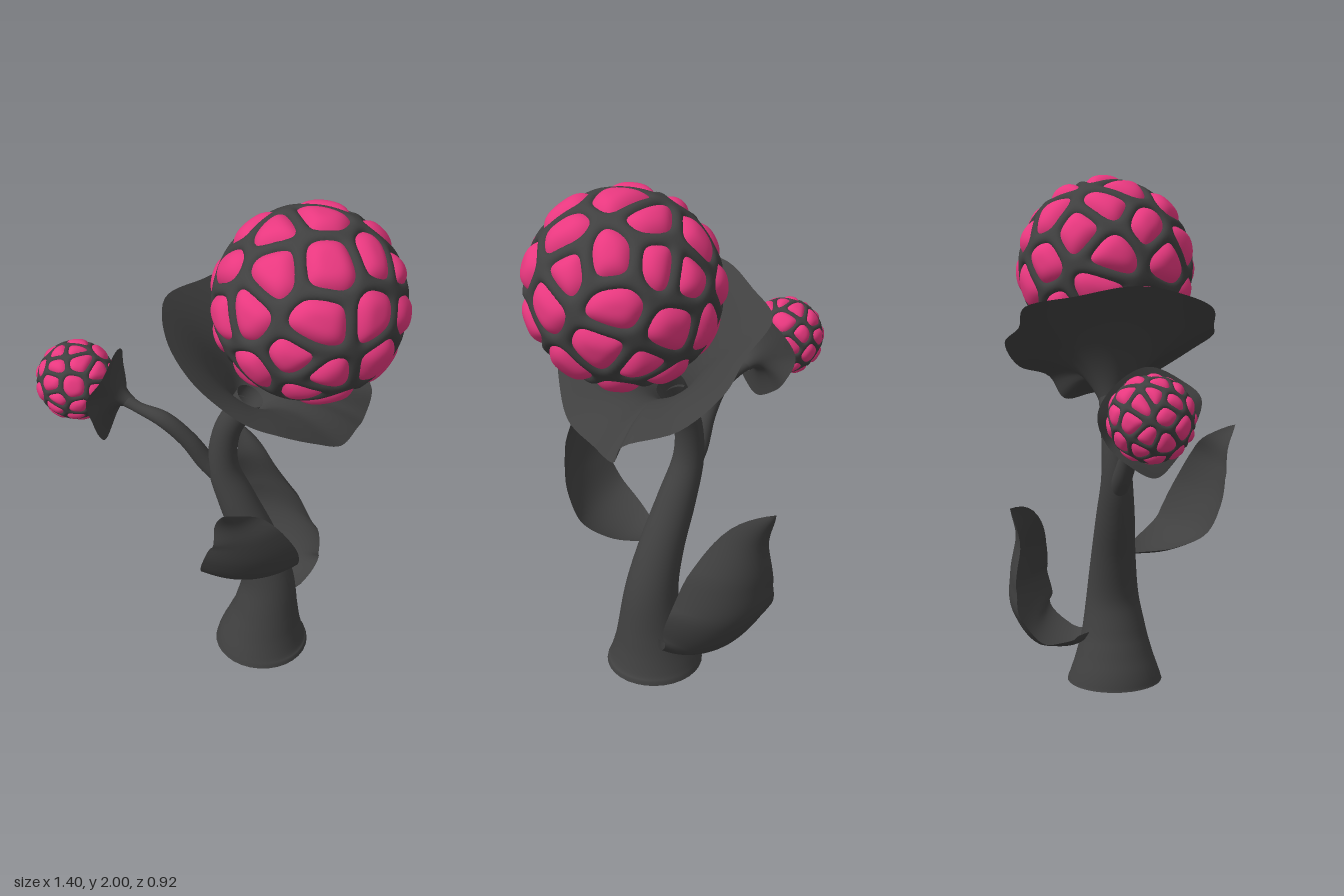
import * as THREE from 'three';
import { mergeVertices } from 'three/addons/utils/BufferGeometryUtils.js';

const V = (x, y, z) => new THREE.Vector3(x, y, z);
const curveOf = (pts, closed = false) => new THREE.CatmullRomCurve3(pts.map(p => V(p[0], p[1], p[2])), closed);
const dark = new THREE.MeshStandardMaterial({ color: 0x404040, side: THREE.DoubleSide });
const pink = new THREE.MeshStandardMaterial({ color: 0xe8387f });

function named(name, geometry, material) {
  const mesh = new THREE.Mesh(geometry, material);
  mesh.name = name;
  return mesh;
}

// Smooth surface from a rule fn(u, v) -> Vector3
function surface(fn, nu, nv) {
  const pos = [], idx = [];
  for (let i = 0; i <= nu; i++)
    for (let j = 0; j <= nv; j++) pos.push(...fn(i / nu, j / nv).toArray());
  for (let i = 0; i < nu; i++)
    for (let j = 0; j < nv; j++) {
      const a = i * (nv + 1) + j, b = a + nv + 1;
      idx.push(a, a + 1, b, b, a + 1, b + 1);
    }
  let g = new THREE.BufferGeometry();
  g.setAttribute('position', new THREE.Float32BufferAttribute(pos, 3));
  g.setIndex(idx);
  g = mergeVertices(g, 1e-5);
  g.computeVertexNormals();
  return g;
}

// Round stalk, open at both ends; each point is [x, y, z, radius]
function stalk(pts) {
  const path = curveOf(pts);
  const radius = curveOf(pts.map((p, i) => [p[3], i, 0]));
  return surface((u, v) => {
    const t = path.getTangent(u);
    const side = V(0, 0, 1).cross(t).normalize(), other = t.clone().cross(side);
    const r = radius.getPoint(u).x, a = v * Math.PI * 2;
    return path.getPoint(u).addScaledVector(side, r * Math.cos(a)).addScaledVector(other, r * Math.sin(a));
  }, 48, 32);
}

// Wavy collar flaring from a stalk end to a closed rim
function calyx(rimPts, base, baseRadius, hub, hubRadius) {
  const rim = curveOf(rimPts, true);
  const axis = hub.clone().sub(base).normalize();
  return surface((u, v) => {
    const end = rim.getPoint(v % 1);
    const out = end.clone().sub(hub);
    out.addScaledVector(axis, -out.dot(axis)).normalize();
    const start = base.clone().addScaledVector(out, baseRadius);
    const mid = hub.clone().addScaledVector(out, hubRadius);
    return new THREE.QuadraticBezierCurve3(start, mid, end).getPoint(u);
  }, 20, 96);
}

// Leaf around a midrib, pointed at the tip, turned so its left edge is nearer the stem,
// edges cupped inward; facing is 1 for a leaf growing to +z and -1 for one growing to -z
function leaf(ribPts, halfWidth, cup, facing) {
  const rib = curveOf(ribPts);
  return surface((u, v) => {
    const t = rib.getTangentAt(u), s = v * 2 - 1;
    const side = V(1, 0, -0.4 * facing);
    side.addScaledVector(t, -side.dot(t)).normalize();
    const inward = t.clone().cross(side).multiplyScalar(facing);
    const w = 0.06 * (1 - u) + Math.pow(Math.sin(Math.PI * Math.pow(u, 0.9)), 0.85);
    return rib.getPointAt(u).addScaledVector(side, s * w * halfWidth).addScaledVector(inward, cup * s * s * w);
  }, 36, 16);
}

// Berry: pink bulges in irregular cells, held by a net of dark ridges
function berry(name, center, R, count, detail, seed) {
  const rand = () => (seed = (seed * 16807) % 2147483647) / 2147483647;
  const seeds = [];
  for (let i = 0; i < count; i++) {
    const y = 1 - (2 * i + 1) / count, r = Math.sqrt(1 - y * y), a = i * 2.39996;
    const jitter = V(rand() - 0.5, rand() - 0.5, rand() - 0.5).multiplyScalar(0.34);
    seeds.push(V(r * Math.cos(a), y, r * Math.sin(a)).add(jitter).normalize());
  }
  // Softened distance from a direction to its cell border
  const border = p => {
    const near = seeds.reduce((a, b) => (p.dot(b) > p.dot(a) ? b : a));
    let sum = 0;
    for (const s of seeds)
      if (s !== near) sum += Math.exp(-24 * (p.dot(near) - p.dot(s)) / near.distanceTo(s));
    return Math.max(0, -Math.log(sum) / 24);
  };
  const ball = new THREE.IcosahedronGeometry(1, detail);
  ball.deleteAttribute('normal');
  ball.deleteAttribute('uv');
  const sphere = mergeVertices(ball, 1e-5);
  const pos = sphere.attributes.position, index = sphere.index.array, d = [];
  for (let i = 0; i < pos.count; i++) d.push(border(V().fromBufferAttribute(pos, i).normalize()));

  const W = 0.085;
  const shell = (height, keep) => {
    const g = sphere.clone(), kept = [];
    for (let i = 0; i < pos.count; i++) {
      const p = V().fromBufferAttribute(pos, i).normalize().multiplyScalar(R * height(d[i]));
      g.attributes.position.setXYZ(i, p.x, p.y, p.z);
    }
    g.computeVertexNormals();
    for (let i = 0; i < index.length; i += 3) {
      const tri = [index[i], index[i + 1], index[i + 2]];
      if (tri.some(k => keep(d[k]))) kept.push(...tri);
    }
    g.setIndex(kept);
    return g;
  };
  const group = new THREE.Group();
  group.name = name;
  group.position.copy(center);
  group.add(
    named('ridgeNet', shell(x => 0.9 + 0.1 * Math.sqrt(Math.max(0, 1 - (x / W) ** 2)), x => x < W * 1.2), dark),
    named('bulges', shell(x => 0.9 + 0.135 * (1 - (1 - Math.min(1, x / 0.2)) ** 2), x => x > W * 0.5), pink));
  return group;
}

export function createModel() {
  const model = new THREE.Group();
  model.name = 'berryPlant';

  // Main stem with a flared, hollow foot
  model.add(named('mainStem', stalk([
    [0.2, 0, -0.02, 0.19], [0.2, 0.03, -0.02, 0.18], [0.206, 0.1, -0.02, 0.156], [0.215, 0.19, -0.02, 0.131],
    [0.217, 0.34, -0.025, 0.105], [0.165, 0.52, -0.03, 0.088], [0.085, 0.7, -0.035, 0.075], [0.025, 0.86, -0.04, 0.06],
    [0.035, 1.02, -0.045, 0.053], [0.09, 1.14, -0.045, 0.052], [0.125, 1.2, -0.045, 0.055]]), dark));

  // Side branch
  model.add(named('sideBranch', stalk([
    [0.03, 0.79, -0.04, 0.035], [-0.04, 0.87, -0.03, 0.037], [-0.11, 0.98, -0.01, 0.034],
    [-0.2, 1.067, 0.005, 0.032], [-0.3, 1.1, 0, 0.022], [-0.37, 1.125, -0.015, 0.028]]), dark));

  // Collars under the berries
  model.add(named('largeCalyx', calyx([
    [-0.185, 1.6, 0], [-0.12, 1.56, 0.2], [0, 1.5, 0.33], [0.1, 1.43, 0.355], [0.22, 1.38, 0.38], [0.33, 1.32, 0.33],
    [0.43, 1.23, 0.22], [0.5, 1.15, 0.1], [0.53, 1.12, -0.06], [0.54, 1.1, -0.17], [0.55, 1.19, -0.23],
    [0.42, 1.25, -0.37], [0.27, 1.36, -0.44], [0.12, 1.43, -0.4], [-0.03, 1.52, -0.39], [-0.12, 1.56, -0.22]],
    V(0.1, 1.15, -0.045), 0.052, V(0.16, 1.325, -0.04), 0.125), dark));
  model.add(named('smallCalyx', calyx([
    [-0.385, 1.33, 0], [-0.4, 1.28, 0.12], [-0.44, 1.22, 0.18], [-0.43, 1.1, 0.15], [-0.43, 1, 0.09],
    [-0.43, 0.94, 0.02], [-0.42, 0.99, -0.08], [-0.4, 1.06, -0.15], [-0.42, 1.17, -0.185], [-0.4, 1.27, -0.12]],
    V(-0.33, 1.11, -0.01), 0.023, V(-0.4, 1.14, -0.02), 0.03), dark));

  // Leaves
  model.add(named('frontLeaf', leaf([
    [0.15, 0.525, 0], [0.19, 0.53, 0.15], [0.22, 0.59, 0.28], [0.235, 0.72, 0.355], [0.22, 0.86, 0.395],
    [0.18, 0.95, 0.415], [0.155, 1.03, 0.46]], 0.18, 0.045, 1), dark));
  model.add(named('backLeaf', leaf([
    [0.2, 0.2, -0.08], [0.21, 0.15, -0.18], [0.21, 0.19, -0.33], [0.2, 0.35, -0.425], [0.16, 0.5, -0.43],
    [0.08, 0.65, -0.42], [-0.01, 0.76, -0.455]], 0.215, 0.09, -1), dark));

  // Berries
  model.add(berry('largeBerry', V(0.335, 1.648, -0.03), 0.345, 42, 36, 11));
  model.add(berry('smallBerry', V(-0.553, 1.17, -0.02), 0.151, 40, 26, 29));
  return model;
}
